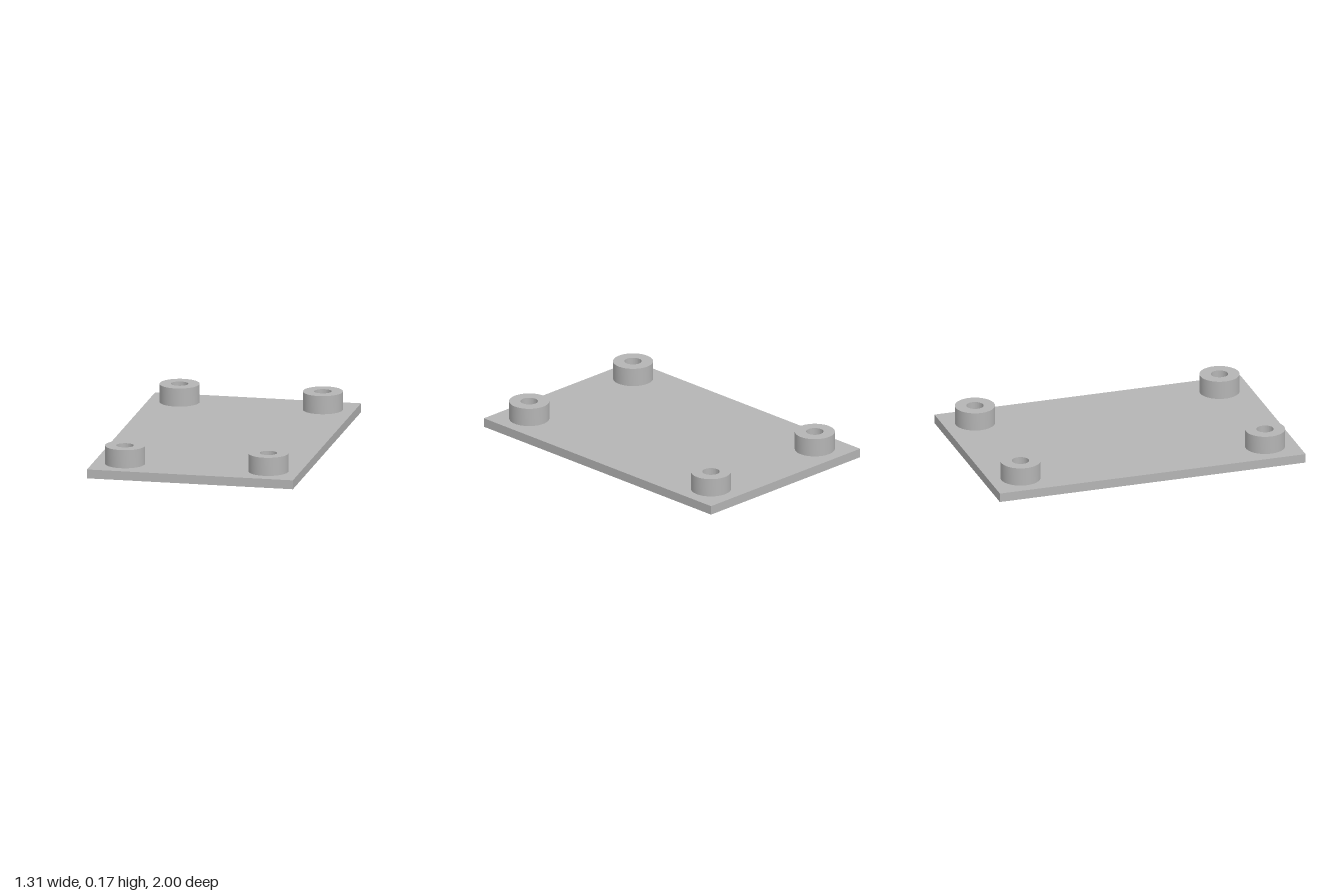
import * as THREE from 'three';
import { toCreasedNormals } from 'three/addons/utils/BufferGeometryUtils.js';

const PLATE = { width: 1.31, height: 0.057, depth: 2 };
const POST = { outer: 0.125, inner: 0.054, top: 0.173, x: 0.456, z: 0.8 };

export function createModel() {
  const model = new THREE.Group();
  model.name = 'mountingPlate';
  const grey = new THREE.MeshStandardMaterial({ color: 0xb4b4b4 });
  grey.name = 'plain grey';

  // Flat base plate
  const plate = new THREE.Mesh(new THREE.BoxGeometry(PLATE.width, PLATE.height, PLATE.depth), grey);
  plate.name = 'basePlate';
  plate.position.y = PLATE.height / 2;
  model.add(plate);

  // Hollow standoff: outer wall, top rim, then down the bore to the plate
  const profile = [
    [POST.outer, PLATE.height],
    [POST.outer, POST.top],
    [POST.inner, POST.top],
    [POST.inner, PLATE.height],
  ].map(([r, y]) => new THREE.Vector2(r, y));
  const standoffGeometry = toCreasedNormals(new THREE.LatheGeometry(profile, 64), Math.PI / 6);

  // One standoff near each corner
  for (const [side, sx] of [['Left', 1], ['Right', -1]]) {
    for (const [end, sz] of [['front', 1], ['back', -1]]) {
      const standoff = new THREE.Mesh(standoffGeometry, grey);
      standoff.name = `${end}${side}Standoff`;
      standoff.position.set(sx * POST.x, 0, sz * POST.z);
      model.add(standoff);
    }
  }
  return model;
}
